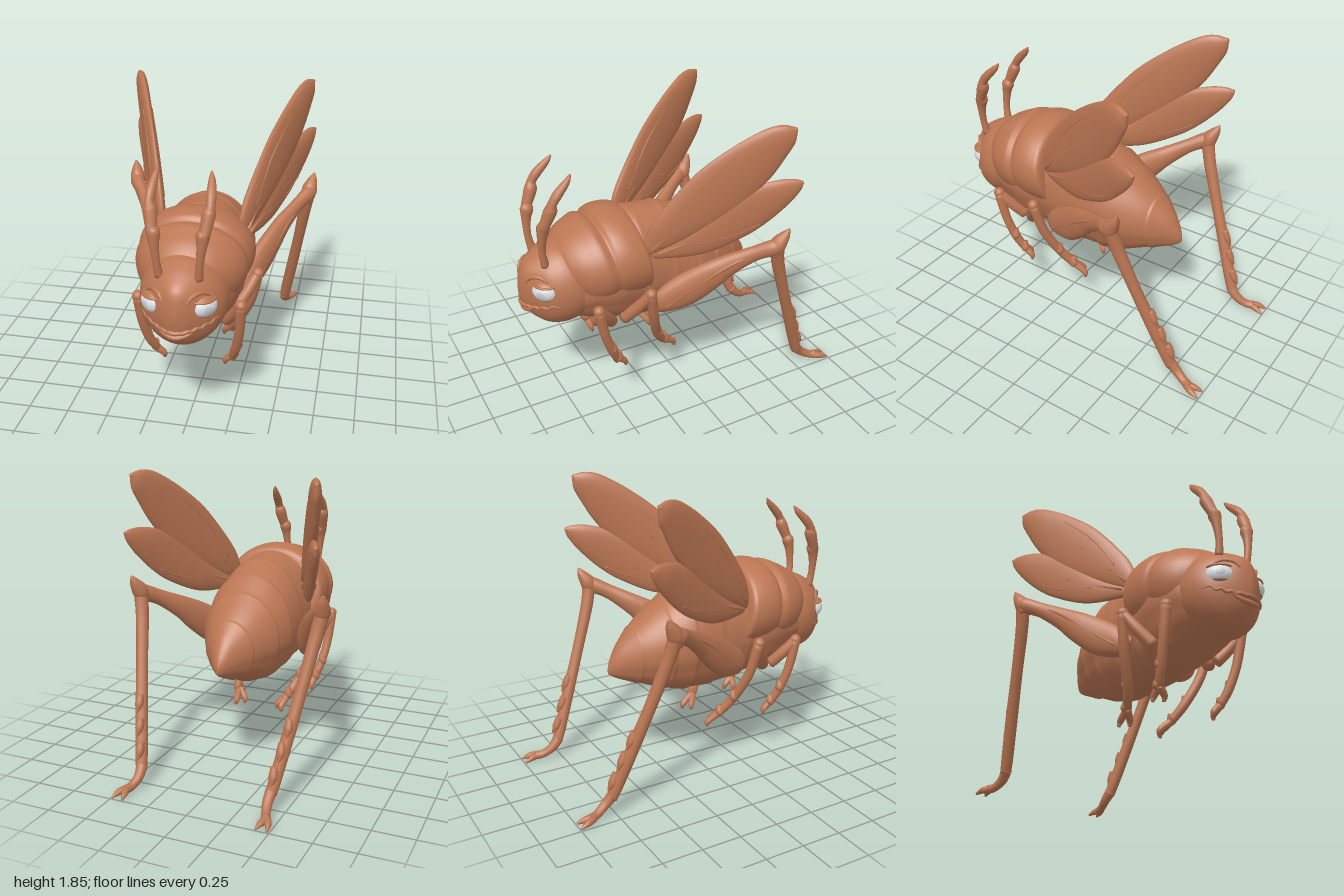
import * as THREE from 'three';

const brown = new THREE.MeshStandardMaterial({ color: 0xbb7653 });
brown.name = 'brown';
const eyeWhite = new THREE.MeshStandardMaterial({ color: 0xdde2e5 });
eyeWhite.name = 'eyeWhite';
const pupilGrey = new THREE.MeshStandardMaterial({ color: 0xc8ced1 });
pupilGrey.name = 'pupilGrey';

const V = (x, y, z) => new THREE.Vector3(x, y, z);

// Smooth closed loft through rows [x, y, z, sideRadius, upRadius]
function sweep(rows, { up = V(0, 1, 0), axis = null, steps = 6, sides = 14, swell = null } = {}) {
  const centre = new THREE.CatmullRomCurve3(rows.map(r => V(r[0], r[1], r[2])), false, 'catmullrom');
  const radius = new THREE.CatmullRomCurve3(rows.map(r => V(r[3], r[4] ?? r[3], 0)), false, 'catmullrom');
  const n = (rows.length - 1) * steps, pos = [], idx = [];
  for (let i = 0; i <= n; i++) {
    const c = centre.getPoint(i / n), r = radius.getPoint(i / n);
    const t = axis || centre.getTangent(i / n);
    const side = up.clone().cross(t).normalize(), top = t.clone().cross(side);
    for (let j = 0; j < sides; j++) {
      const a = j / sides * Math.PI * 2, k = swell ? swell(c.z, a) : 1;
      const p = c.clone().addScaledVector(side, Math.max(r.x, 0.001) * k * Math.cos(a))
        .addScaledVector(top, Math.max(r.y, 0.001) * k * Math.sin(a));
      pos.push(p.x, p.y, p.z);
    }
  }
  for (let i = 0; i < n; i++) for (let j = 0; j < sides; j++) {
    const a = i * sides + j, b = i * sides + (j + 1) % sides;
    idx.push(a, b, a + sides, b, b + sides, a + sides);
  }
  const first = rows[0], last = rows[rows.length - 1], s = pos.length / 3;
  pos.push(first[0], first[1], first[2], last[0], last[1], last[2]);
  for (let j = 0; j < sides; j++) {
    const k = (j + 1) % sides;
    idx.push(s, k, j, s + 1, n * sides + j, n * sides + k);
  }
  const g = new THREE.BufferGeometry();
  g.setAttribute('position', new THREE.Float32BufferAttribute(pos, 3));
  g.setIndex(idx);
  g.computeVertexNormals();
  return g;
}

export function createModel() {
  const root = new THREE.Group();
  root.name = 'grasshopper';
  const add = (name, geo, mat = brown, parent = root) => {
    const m = new THREE.Mesh(geo, mat);
    m.name = name;
    parent.add(m);
    return m;
  };
  const back = V(0, 0, -1);
  // Stations [z, top, bottom, halfWidth]
  const stations = list => list.map(([z, t, b, w]) => [0, (t + b) / 2, z, w, (t - b) / 2]);

  // Abdomen and thorax, with overlapping ring plates and a fold along each flank
  const rings = [[0.3, 0.035], [0.1, 0.035], [-0.09, 0.035], [-0.23, 0.035], [-0.4, 0.055]];
  const plates = (z, a) => {
    let k = 1;
    for (const [r, h] of rings) if (z < r) k = 1 + h * Math.exp(-(r - z) / 0.07);
    return k - 0.035 * Math.exp(-(((Math.sin(a) + 0.42) / 0.09) ** 2));
  };
  add('body', sweep(stations([
    [0.74, 1.05, 0.7, 0.2], [0.69, 1.12, 0.66, 0.25], [0.6, 1.2, 0.62, 0.28], [0.46, 1.25, 0.575, 0.302],
    [0.3, 1.265, 0.54, 0.282], [0.1, 1.255, 0.515, 0.275], [-0.08, 1.195, 0.52, 0.275],
    [-0.22, 1.11, 0.55, 0.245], [-0.33, 1.035, 0.59, 0.197], [-0.42, 0.96, 0.625, 0.14],
    [-0.5, 0.88, 0.655, 0.08], [-0.55, 0.8, 0.68, 0.038], [-0.575, 0.74, 0.7, 0.005],
  ]), { axis: back, steps: 12, sides: 48, swell: plates }));

  // Saddle shield over the thorax, raked forward, with a shallow cross groove
  add('thoraxShield', sweep(stations([
    [0.75, 1.13, 0.9, 0.17], [0.735, 1.165, 0.82, 0.22], [0.67, 1.215, 0.75, 0.28], [0.6, 1.25, 0.735, 0.315],
    [0.54, 1.275, 0.735, 0.331], [0.505, 1.27, 0.74, 0.328], [0.485, 1.265, 0.745, 0.326], [0.45, 1.295, 0.735, 0.338],
    [0.39, 1.308, 0.735, 0.346], [0.32, 1.303, 0.735, 0.343], [0.275, 1.28, 0.75, 0.328], [0.26, 1.2, 0.82, 0.26],
  ]), { axis: V(0, 0.17, -1).normalize(), steps: 6, sides: 48 }));

  // Head
  const head = add('head', sweep(stations([
    [1.0, 0.93, 0.86, 0.012], [0.985, 1.01, 0.79, 0.055], [0.96, 1.06, 0.745, 0.1], [0.91, 1.1, 0.69, 0.165],
    [0.85, 1.135, 0.65, 0.217], [0.77, 1.165, 0.635, 0.249], [0.69, 1.16, 0.65, 0.256], [0.6, 1.12, 0.68, 0.24],
  ]), { axis: back, steps: 8, sides: 48 }));

  // Facial ridges laid on the head surface
  head.updateMatrixWorld();
  const ray = new THREE.Raycaster();
  const onHead = (x, y, r) => {
    ray.set(V(x, y, 2), back);
    const hit = ray.intersectObject(head)[0];
    return [x, y, hit ? hit.point.z : 0.72, r];
  };
  const lip = (y0, rise, r, reach, jag) => {
    const pts = [];
    for (let i = -10; i <= 10; i++) {
      const u = i / 10;
      pts.push(onHead(u * reach, y0 + rise * u * u + (i % 2 ? jag : -jag) * Math.abs(u), r * (1.1 - 0.8 * u * u)));
    }
    return sweep(pts, { steps: 3, sides: 10 });
  };
  add('upperLip', lip(0.805, 0.05, 0.013, 0.225, 0.009));
  add('lowerLip', lip(0.77, 0.05, 0.016, 0.12, 0));

  // Wing: vertical blade leaning outward toward the rear; rows are [z, y, halfWidth]
  const wing = (name, s, rows, thick, inset, veins) => {
    const x = z => s * (0.24 + 0.42 * (0.27 - z) - inset);
    const g = new THREE.Group();
    g.name = name;
    root.add(g);
    add('blade', sweep(rows.map(([z, y, w]) => [x(z), y, z, Math.min(thick, 0.008 + w * 0.3), w]),
      { steps: 8, sides: 24 }), brown, g);
    for (const v of veins)
      add('vein', sweep(v.map(([z, y], i) => [x(z), y, z, thick + 0.003 - 0.004 * i, 0.012 - 0.003 * i]),
        { steps: 6, sides: 10 }), brown, g);
  };

  for (const s of [1, -1]) {
    const m = rows => rows.map(([x, ...rest]) => [s * x, ...rest]);
    const limb = (name, rows, opts) => add(name, sweep(m(rows), { up: V(0, 0, 1), ...opts }));

    // Wide eye with heavy lids and brow
    const eye = new THREE.Group();
    eye.name = 'eye';
    eye.position.set(s * 0.136, 0.935, 0.878);
    eye.rotation.y = s * 0.72;
    eye.scale.x = 1.25;
    root.add(eye);
    add('eyeball', new THREE.SphereGeometry(0.067, 28, 20), eyeWhite, eye);
    add('pupil', new THREE.SphereGeometry(0.068, 20, 8, 0, Math.PI * 2, 0, 0.34).rotateX(Math.PI / 2 + 0.05), pupilGrey, eye);
    add('upperLid', new THREE.SphereGeometry(0.071, 28, 10, 0, Math.PI * 2, 0, Math.PI * 0.31), brown, eye);
    add('lowerLid', new THREE.SphereGeometry(0.07, 28, 10, 0, Math.PI * 2, Math.PI * 0.72, Math.PI * 0.28), brown, eye);
    add('lidFold', new THREE.TorusGeometry(0.058, 0.007, 8, 28).rotateX(Math.PI / 2).translate(0, 0.043, 0), brown, eye);
    add('brow', sweep([[0.065, 0.975], [0.09, 1.015], [0.135, 1.025], [0.175, 1.0]]
      .map(([x, y], i) => onHead(s * x, y, [0.006, 0.014, 0.014, 0.006][i])), { steps: 5, sides: 10 }));

    // Jointed antenna
    limb('antenna', [
      [0.11, 1.08, 0.86, 0.026], [0.12, 1.18, 0.875, 0.022], [0.13, 1.28, 0.872, 0.029], [0.135, 1.34, 0.862, 0.04],
      [0.145, 1.36, 0.857, 0.032], [0.158, 1.45, 0.82, 0.038], [0.165, 1.49, 0.81, 0.027], [0.163, 1.54, 0.775, 0.028],
      [0.155, 1.6, 0.715, 0.02], [0.147, 1.64, 0.685, 0.005],
    ], { sides: 12 });

    // Wings
    wing('foreWing', s, [[0.3, 1.04, 0.015], [0.24, 1.12, 0.06], [0.14, 1.23, 0.115], [-0.09, 1.44, 0.17],
      [-0.27, 1.61, 0.155], [-0.39, 1.73, 0.115], [-0.47, 1.795, 0.07], [-0.515, 1.83, 0.008]], 0.036, 0,
      [[[0.24, 1.1], [-0.05, 1.42], [-0.42, 1.76]], [[0.14, 1.21], [-0.08, 1.36], [-0.25, 1.5]],
        [[-0.05, 1.42], [-0.22, 1.52], [-0.4, 1.64]], [[0.16, 1.24], [0, 1.48], [-0.2, 1.68]]]);
    wing('hindWing', s, [[0.29, 1.05, 0.012], [0.18, 1.07, 0.045], [-0.02, 1.14, 0.1], [-0.2, 1.26, 0.135],
      [-0.33, 1.35, 0.13], [-0.46, 1.43, 0.09], [-0.54, 1.475, 0.045], [-0.575, 1.495, 0.006]], 0.031, 0.004,
      [[[0.2, 1.07], [-0.15, 1.22], [-0.5, 1.45]], [[0, 1.13], [-0.2, 1.17], [-0.35, 1.24]],
        [[-0.15, 1.22], [-0.32, 1.29], [-0.46, 1.36]]]);

    // Short walking legs: thigh, shin, spurs and toes
    const walkingLeg = (name, hip, knee, shin, foot) => {
      const mid = hip.map((v, i) => (v + knee[i]) / 2 + (i === 0 ? 0.01 : 0));
      limb(name + 'Thigh', [[...hip, 0.04], [...mid, 0.036], [...knee, 0.03]]);
      add(name + 'Knee', new THREE.SphereGeometry(0.035, 14, 10).translate(s * knee[0], knee[1], knee[2]));
      limb(name + 'Shin', [[...knee, 0.034], ...shin]);
      for (const p of shin.slice(1)) {
        limb(name + 'Spur', [[p[0], p[1] + 0.05, p[2], 0.02], [p[0] + 0.01, p[1], p[2] - 0.01, 0.027],
          [p[0] + 0.012, p[1] - 0.025, p[2] - 0.018, 0.004]], { steps: 4, sides: 8 });
      }
      const end = shin[shin.length - 1].slice(0, 3);
      for (const d of [-0.02, 0.02])
        limb(name + 'Toe', [[...end, 0.024], [foot[0] + d, foot[1] + 0.035, foot[2] + 0.01 - d, 0.02],
          [foot[0] + d * 1.2, foot[1], foot[2] - d, 0.009]], { sides: 8 });
    };
    walkingLeg('frontLeg', [0.2, 0.63, 0.5], [0.305, 0.8, 0.62],
      [[0.295, 0.62, 0.585, 0.029], [0.27, 0.47, 0.535, 0.029], [0.24, 0.37, 0.485, 0.026]], [0.215, 0.292, 0.445]);
    walkingLeg('middleLeg', [0.22, 0.64, 0.42], [0.355, 0.85, 0.3],
      [[0.31, 0.64, 0.26, 0.031], [0.23, 0.46, 0.2, 0.03], [0.175, 0.35, 0.13, 0.027]], [0.14, 0.262, 0.06]);

    // Jumping leg
    limb('hindThigh', [
      [0.24, 0.69, 0.24, 0.035, 0.05], [0.27, 0.72, 0.18, 0.052, 0.085], [0.32, 0.785, 0.06, 0.058, 0.11],
      [0.39, 0.89, -0.08, 0.053, 0.095], [0.44, 0.965, -0.18, 0.047, 0.07], [0.52, 1.05, -0.31, 0.038, 0.048],
      [0.585, 1.1, -0.41, 0.045, 0.05], [0.595, 1.11, -0.44, 0.02, 0.02],
    ], { up: V(0, 1, 0), sides: 20 });
    limb('hindThighRidge', [[0.32, 0.7, 0.18, 0.01], [0.39, 0.83, 0.02, 0.013], [0.47, 0.97, -0.15, 0.012], [0.55, 1.07, -0.32, 0.008]], { sides: 8 });
    limb('hindKnee', [[0.575, 1.04, -0.41, 0.035], [0.585, 1.11, -0.43, 0.05], [0.6, 1.17, -0.465, 0.032], [0.61, 1.215, -0.487, 0.006]]);
    limb('hindShin', [
      [0.585, 1.1, -0.425, 0.043], [0.56, 0.96, -0.46, 0.04], [0.52, 0.7, -0.55, 0.036], [0.475, 0.43, -0.65, 0.038],
      [0.435, 0.2, -0.735, 0.037], [0.42, 0.11, -0.77, 0.034],
    ]);
    for (let i = 0; i < 3; i++) {
      const t = i / 2, x = 0.48 - 0.05 * t, y = 0.45 - 0.26 * t, z = -0.65 - 0.1 * t;
      limb('shinSpine', [[x, y + 0.08, z + 0.005, 0.022], [x, y + 0.02, z - 0.018, 0.026],
        [x, y - 0.02, z - 0.048, 0.003]], { steps: 5, sides: 10 });
    }
    limb('hindFoot', [[0.42, 0.13, -0.76, 0.036], [0.415, 0.075, -0.81, 0.03], [0.43, 0.037, -0.87, 0.026], [0.448, 0.03, -0.92, 0.028]],
      { up: V(1, 0, 0) });
    for (const x of [0.42, 0.488])
      limb('hindToe', [[0.448, 0.028, -0.9, 0.024], [x * 0.6 + 0.181, 0.024, -0.945, 0.02], [x, 0.008, -0.995, 0.007]],
        { up: V(1, 0, 0), sides: 10 });
  }
  return root;
}
